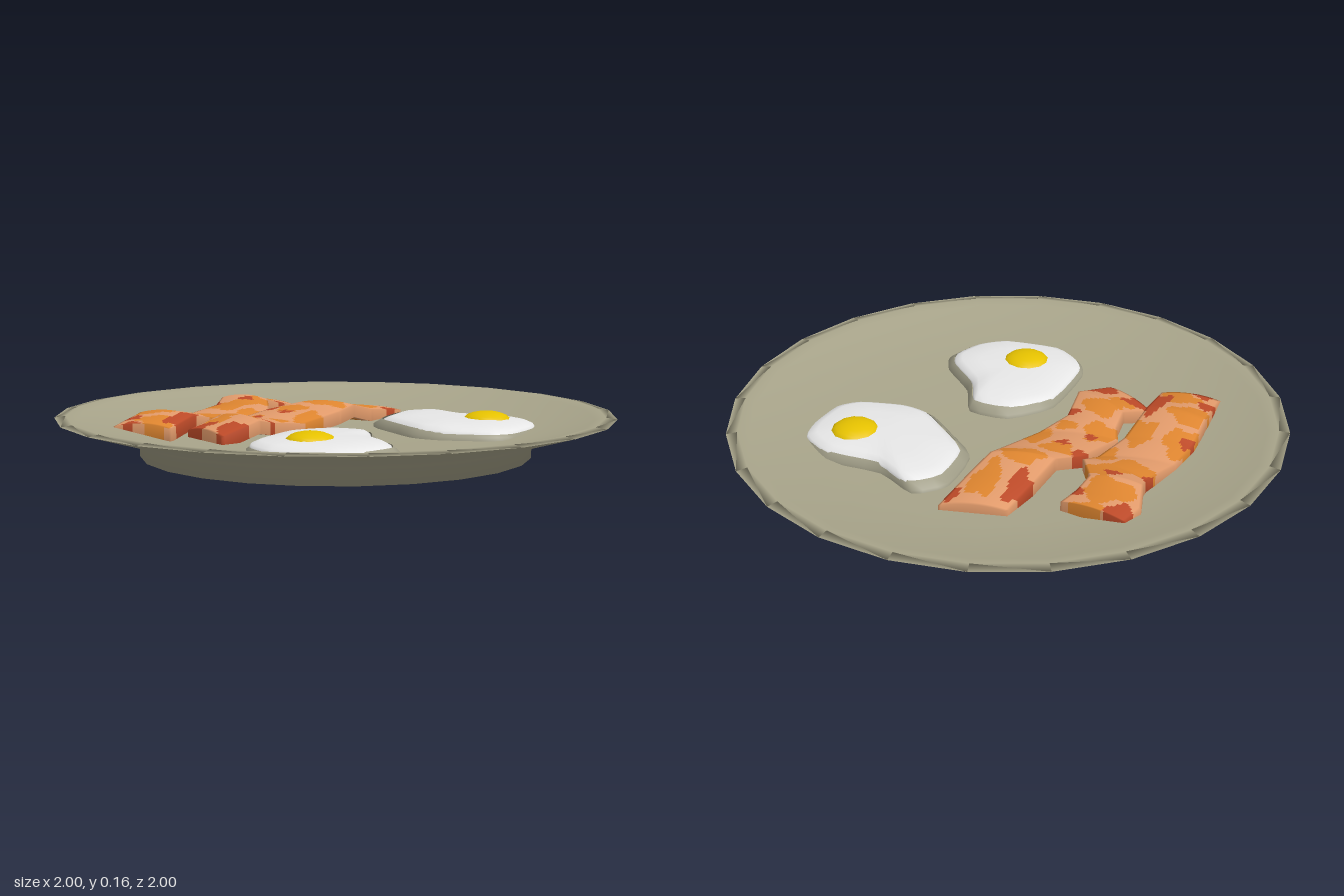
import * as THREE from 'three';

const material = (name, color, side = THREE.FrontSide) => {
  const m = new THREE.MeshStandardMaterial({ color, side });
  m.name = name;
  return m;
};

// Indexed geometry from points and one face list per material
function meshFrom(name, points, faceLists, materials) {
  const geo = new THREE.BufferGeometry();
  geo.setAttribute('position', new THREE.Float32BufferAttribute(points.flat(), 3));
  geo.setIndex(faceLists.flat());
  let start = 0;
  faceLists.forEach((list, i) => {
    geo.addGroup(start, list.length, i);
    start += list.length;
  });
  geo.computeVertexNormals();
  const mesh = new THREE.Mesh(geo, materials);
  mesh.name = name;
  return mesh;
}

// Wavy strip; rows are [leftX, leftZ, rightX, rightZ, height] from front to back
function bacon(name, rows, orange, red, materials) {
  const steps = 14, nv = 24, loop = 2 * (nv + 1);
  const points = [];
  const nu = (rows.length - 1) * steps;
  for (let i = 0; i <= nu; i++) {
    const k = Math.min(Math.floor(i / steps), rows.length - 2);
    const f = i / steps - k;
    const [xl, zl, xr, zr, y] = rows[k].map((a, j) => a + (rows[k + 1][j] - a) * f);
    for (let j = 0; j < loop; j++) {
      const top = j <= nv;
      const v = (top ? j : loop - 1 - j) / nv;
      const h = top ? y - 0.015 * (2 * v - 1) ** 2 : y - 0.06;
      points.push([xl + (xr - xl) * v, h, zl + (zr - zl) * v]);
    }
  }

  // Colour patches are wobbly ellipses [x, z, radiusX, radiusZ]
  const inside = (list, x, z) => list.some(([cx, cz, rx, rz]) => {
    const dx = (x - cx) / rx, dz = (z - cz) / rz;
    const a = Math.atan2(dz, dx);
    return Math.hypot(dx, dz) < 1 + 0.16 * Math.sin(3 * a + cx * 40) + 0.1 * Math.sin(5 * a + cz * 30);
  });
  const faces = [[], [], []];
  const quad = (a, b, c, d) => {
    const x = (points[a][0] + points[c][0]) / 2, z = (points[a][2] + points[c][2]) / 2;
    const slot = inside(red, x, z) ? 2 : inside(orange, x, z) ? 1 : 0;
    faces[slot].push(a, b, c, a, c, d);
  };
  for (let i = 0; i < nu; i++) {
    for (let j = 0; j < loop; j++) {
      const n = (j + 1) % loop, o = i * loop, p = o + loop;
      quad(o + j, o + n, p + n, p + j);
    }
  }
  // End caps
  const e = nu * loop;
  for (let j = 0; j < nv; j++) {
    quad(loop - 1 - j, loop - 2 - j, j + 1, j);
    quad(e + j, e + j + 1, e + loop - 2 - j, e + loop - 1 - j);
  }
  return meshFrom(name, points, faces, materials);
}

// Rings of a scaled outline [scale, y], optionally closed in the middle
function loft(name, outline, center, rings, closedAt, mat) {
  const n = outline.length, points = [], faces = [];
  for (const [s, y] of rings) {
    for (const p of outline) points.push([center.x + (p.x - center.x) * s, y, center.z + (p.z - center.z) * s]);
  }
  for (let r = 0; r < rings.length - 1; r++) {
    for (let i = 0; i < n; i++) {
      const a = r * n + i, b = r * n + (i + 1) % n;
      faces.push(a, a + n, b + n, a, b + n, b);
    }
  }
  if (closedAt !== null) {
    const o = (rings.length - 1) * n;
    points.push([center.x, closedAt, center.z]);
    for (let i = 0; i < n; i++) faces.push(o + i, points.length - 1, o + (i + 1) % n);
  }
  return meshFrom(name, points, [faces], [mat]);
}

function egg(name, corners, yolkAt, shift, mats) {
  const group = new THREE.Group();
  group.name = name;
  const curve = new THREE.CatmullRomCurve3(
    corners.map(([x, z]) => new THREE.Vector3(x, 0, z)), true, 'catmullrom', 0.3);
  const outline = curve.getPoints(corners.length * 3).slice(0, -1);
  const center = outline.reduce((s, p) => s.add(p), new THREE.Vector3()).divideScalar(outline.length);

  group.add(loft('eggEdge', outline, center, [[1, 0.058], [1, 0.085], [0.9, 0.104]], null, mats.edge));
  const white = loft('eggWhite', outline, center,
    [[0.93, 0.094], [0.91, 0.104], [0.8, 0.117], [0.5, 0.125]], 0.127, mats.white);
  white.position.set(shift[0], 0, shift[1]);
  group.add(white);

  const yolk = new THREE.Mesh(new THREE.SphereGeometry(0.088, 12, 5, 0, Math.PI * 2, 0, Math.PI / 2), mats.yolk);
  yolk.name = 'yolk';
  yolk.scale.y = 0.4;
  yolk.position.set(yolkAt[0], 0.113, yolkAt[1]);
  group.add(yolk);
  return group;
}

export function createModel() {
  const model = new THREE.Group();
  model.name = 'breakfastPlate';
  const stone = material('stoneware', 0xa8a48a);
  const eggMats = {
    edge: material('eggEdge', 0xa19e88, THREE.DoubleSide),
    white: material('eggWhite', 0xf0f0f0),
    yolk: material('yolkYellow', 0xe6c200),
  };
  const meat = [
    material('baconFat', 0xe29b6b),
    material('baconOrange', 0xde852f),
    material('baconRed', 0xbd4a28),
  ];

  // Plate with foot, flared underside and rounded lip
  const profile = [[0, 0], [0.7, 0], [0.7, 0.058], [1, 0.143], [0.96, 0.149], [0.92, 0.14], [0.62, 0.073], [0, 0.07]];
  const plate = new THREE.Mesh(
    new THREE.LatheGeometry(profile.map(([r, y]) => new THREE.Vector2(r, y)), 24), stone);
  plate.name = 'plate';
  model.add(plate);

  // Bacon strips
  model.add(bacon('baconOuter', [
    [-0.66, 0.44, -0.44, 0.42, 0.13], [-0.665, 0.24, -0.44, 0.25, 0.157],
    [-0.665, 0.1, -0.42, 0.06, 0.125], [-0.64, -0.03, -0.37, -0.08, 0.112],
    [-0.59, -0.2, -0.34, -0.15, 0.135], [-0.6, -0.27, -0.41, -0.28, 0.157],
    [-0.63, -0.38, -0.39, -0.35, 0.135], [-0.6, -0.46, -0.36, -0.42, 0.122],
  ], [
    [-0.5, -0.34, 0.09, 0.06], [-0.52, -0.16, 0.08, 0.06], [-0.43, -0.22, 0.06, 0.05],
    [-0.46, -0.44, 0.06, 0.03], [-0.4, -0.08, 0.04, 0.06], [-0.62, 0.08, 0.06, 0.08],
    [-0.47, 0.09, 0.05, 0.08], [-0.6, 0.24, 0.07, 0.06], [-0.52, 0.37, 0.08, 0.06],
  ], [
    [-0.57, -0.43, 0.05, 0.04], [-0.48, -0.24, 0.03, 0.02], [-0.6, -0.2, 0.025, 0.03],
    [-0.64, 0.09, 0.025, 0.03], [-0.46, 0.3, 0.045, 0.09], [-0.635, 0.34, 0.035, 0.03],
    [-0.6, 0.42, 0.03, 0.02], [-0.4, -0.36, 0.02, 0.02],
  ], meat));
  model.add(bacon('baconInner', [
    [-0.44, 0.3, -0.24, 0.42, 0.112], [-0.375, 0.18, -0.17, 0.27, 0.155],
    [-0.375, 0.11, -0.18, 0.13, 0.13], [-0.4, 0.05, -0.12, 0, 0.115],
    [-0.34, -0.14, -0.06, -0.18, 0.14], [-0.27, -0.22, -0.04, -0.26, 0.157],
    [-0.24, -0.38, -0.01, -0.36, 0.13], [-0.21, -0.52, 0.02, -0.57, 0.105],
  ], [
    [-0.08, -0.4, 0.05, 0.1], [-0.15, -0.24, 0.08, 0.05], [-0.24, -0.13, 0.06, 0.05],
    [-0.13, -0.05, 0.05, 0.07], [-0.33, 0.05, 0.06, 0.06], [-0.29, 0.19, 0.07, 0.05],
    [-0.2, 0.06, 0.04, 0.03], [-0.34, 0.26, 0.05, 0.04],
  ], [
    [-0.2, -0.4, 0.04, 0.08], [-0.33, -0.14, 0.035, 0.035], [-0.24, -0.08, 0.025, 0.02],
    [-0.39, 0.31, 0.06, 0.04], [-0.24, 0.36, 0.05, 0.07], [-0.19, 0.15, 0.03, 0.02],
    [-0.31, 0.01, 0.025, 0.02], [0, -0.5, 0.025, 0.04],
  ], meat));

  // Fried eggs
  model.add(egg('backEgg', [
    [0.05, -0.42], [0.145, -0.51], [0.3, -0.43], [0.51, -0.43], [0.64, -0.35], [0.66, -0.25],
    [0.64, -0.1], [0.57, -0.03], [0.4, 0.01], [0.29, -0.01], [0.18, -0.1], [0.055, -0.22],
  ], [0.48, -0.26], [0.014, 0.004], eggMats));
  model.add(egg('frontEgg', [
    [0.04, 0.095], [0.19, 0.095], [0.26, 0.235], [0.39, 0.36], [0.42, 0.44], [0.37, 0.555],
    [0.27, 0.63], [0.05, 0.65], [-0.06, 0.58], [-0.1, 0.5], [-0.085, 0.235],
  ], [0.115, 0.465], [-0.006, 0.006], eggMats));

  return model;
}
